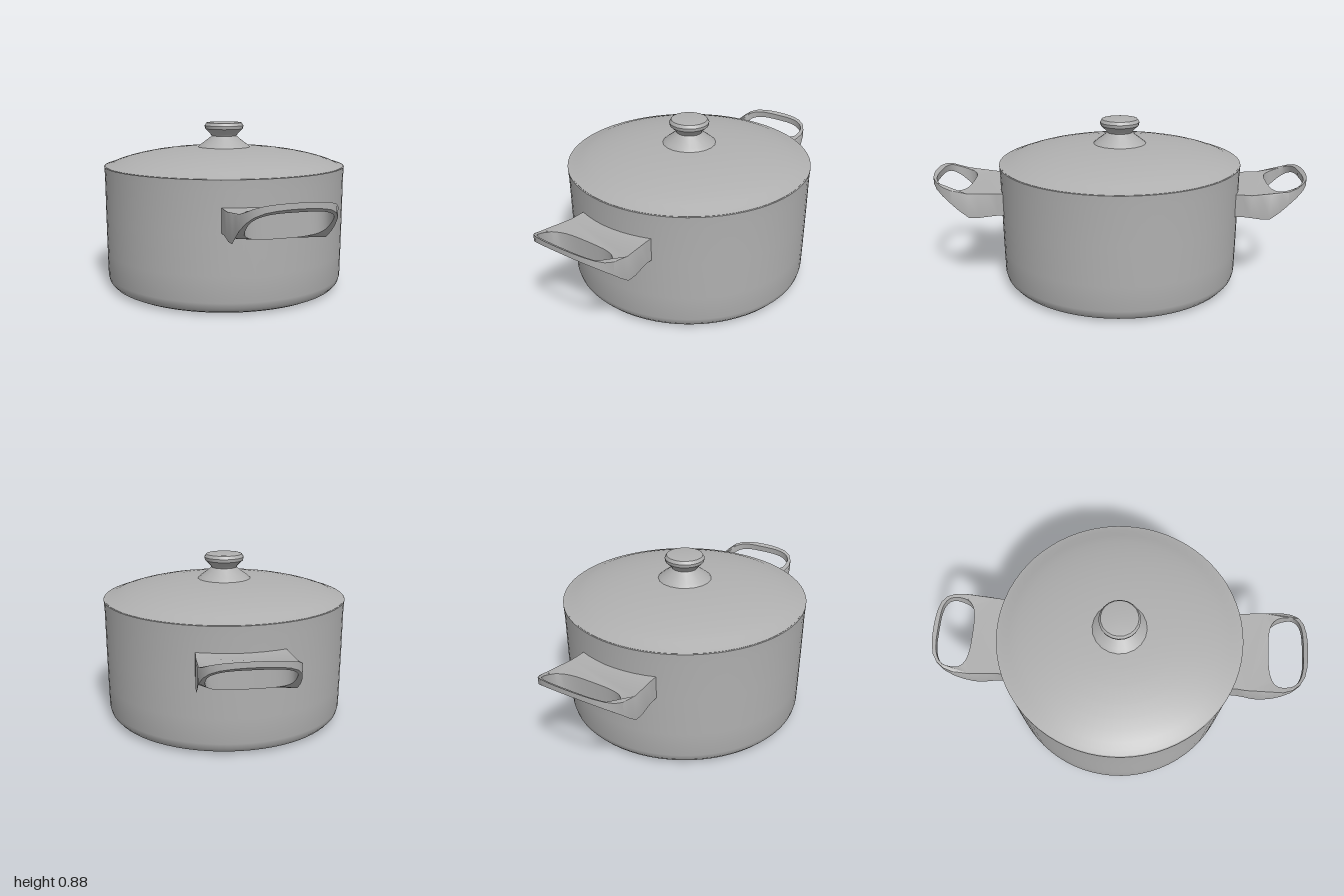
import * as THREE from 'three';
import { toCreasedNormals } from 'three/addons/utils/BufferGeometryUtils.js';

const metal = new THREE.MeshStandardMaterial({ color: 0xb0b0b0 });
metal.name = 'grey metal';

function part(name, geometry, crease = 0.6) {
  const mesh = new THREE.Mesh(toCreasedNormals(geometry, crease), metal);
  mesh.name = name;
  return mesh;
}

function lathe(name, profile, segments, crease) {
  const points = profile.map(([r, y]) => new THREE.Vector2(r, y));
  return part(name, new THREE.LatheGeometry(points, segments), crease);
}

// Linear interpolation along a list of [z, y] pairs
function sample(curve, z) {
  for (let i = 1; i < curve.length; i++) {
    const [z0, y0] = curve[i - 1], [z1, y1] = curve[i];
    if (z <= z1 || i === curve.length - 1) return y0 + (y1 - y0) * (z - z0) / (z1 - z0);
  }
}

// Side profile of the handle: upper and lower edge heights
const upper = [[0.57, 0.53], [0.64, 0.53], [0.74, 0.525], [0.85, 0.54], [0.93, 0.567], [1, 0.607]];
const lower = [[0.57, 0.41], [0.64, 0.41], [0.74, 0.4], [0.79, 0.4], [0.84, 0.44], [0.9, 0.495], [0.97, 0.555], [1, 0.58]];

// Plan shape with a rounded finger hole, bent to the side profile
function handleGeometry() {
  const half = [[0.217, 0.57], [0.217, 0.64], [0.221, 0.69], [0.228, 0.74], [0.228, 0.79], [0.23, 0.84],
    [0.227, 0.88], [0.215, 0.925], [0.19, 0.96], [0.15, 0.983], [0.1, 0.994], [0.05, 0.999]];
  const outline = [...half, [0, 1], ...half.slice().reverse().map(([x, z]) => [-x, z])];
  const shape = new THREE.Shape(outline.map(([x, z]) => new THREE.Vector2(x, z)));

  const hole = [];
  for (let i = 0; i < 40; i++) {
    const a = i / 40 * Math.PI * 2, c = Math.cos(a), s = Math.sin(a);
    hole.push(new THREE.Vector2(0.2 * Math.sign(c) * Math.abs(c) ** 0.6,
      0.892 + 0.087 * Math.sign(s) * Math.abs(s) ** 0.75));
  }
  shape.holes.push(new THREE.Path(hole));

  const geometry = new THREE.ExtrudeGeometry(shape, { depth: 1, bevelEnabled: false });
  const p = geometry.attributes.position;
  for (let i = 0; i < p.count; i++) {
    const z = p.getY(i);
    p.setXYZ(i, p.getX(i), sample(p.getZ(i) < 0.5 ? upper : lower, z), z);
  }
  return geometry;
}

export function createModel() {
  const group = new THREE.Group();
  group.name = 'cookingPot';

  // Round body with a softened bottom edge
  group.add(lathe('potBody', [[0, 0.005], [0.56, 0.005], [0.59, 0.008], [0.615, 0.02], [0.634, 0.042], [0.641, 0.07],
    [0.643, 0.2], [0.645, 0.4], [0.646, 0.6], [0.649, 0.66], [0.63, 0.661]], 72));

  // Shallow domed lid
  group.add(lathe('lid', [[0.64, 0.652], [0.643, 0.662], [0.615, 0.67], [0.58, 0.685], [0.53, 0.701], [0.47, 0.716],
    [0.4, 0.73], [0.31, 0.743], [0.22, 0.751], [0.12, 0.756], [0, 0.757]], 72));

  // Flared knob
  group.add(lathe('lidKnob', [[0.145, 0.752], [0.125, 0.77], [0.082, 0.802], [0.068, 0.815], [0.075, 0.826],
    [0.103, 0.853], [0.106, 0.87], [0.096, 0.886], [0.085, 0.888], [0, 0.888]], 20, 0.5));

  // Matching handles, front and back
  for (const [name, turn] of [['frontHandle', 0], ['backHandle', Math.PI]]) {
    const handle = part(name, handleGeometry(), 0.7);
    handle.rotation.y = turn;
    group.add(handle);
  }
  return group;
}
